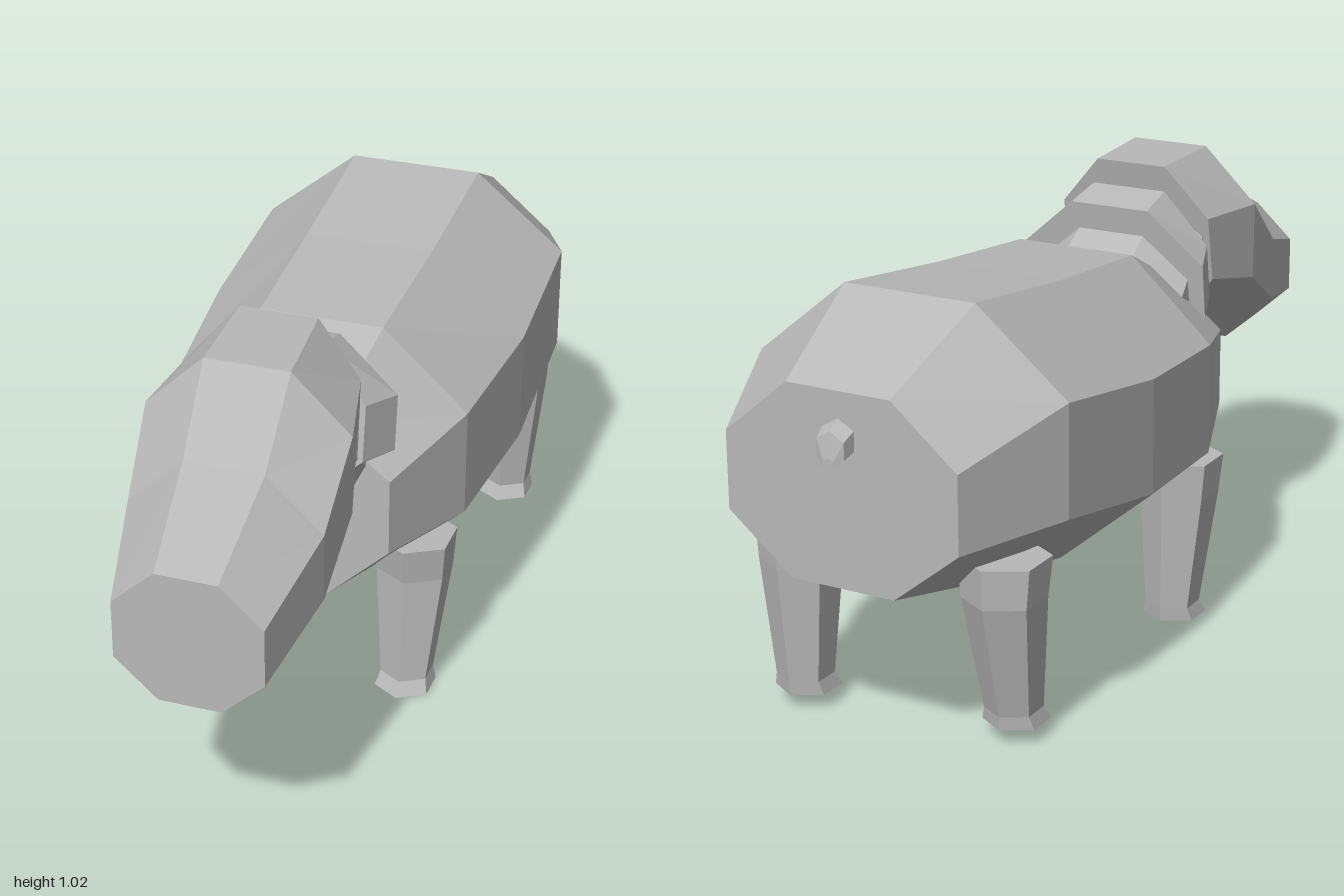
import * as THREE from 'three';

const grey = new THREE.MeshStandardMaterial({ color: 0xb8b8b8, flatShading: true });
grey.name = 'plain grey';

// Closed solid through rings of points, each ring counter-clockwise about the loft direction
function loft(name, rings) {
  const n = rings[0].length;
  const index = [];
  for (let r = 0; r < rings.length - 1; r++) {
    for (let i = 0; i < n; i++) {
      const j = (i + 1) % n, a = r * n, b = a + n;
      index.push(a + i, a + j, b + j, a + i, b + j, b + i);
    }
  }
  const last = (rings.length - 1) * n;
  for (let i = 1; i < n - 1; i++) {
    index.push(0, i + 1, i, last, last + i, last + i + 1);
  }
  const geometry = new THREE.BufferGeometry();
  geometry.setAttribute('position', new THREE.Float32BufferAttribute(rings.flat(2), 3));
  geometry.setIndex(index);
  const flat = geometry.toNonIndexed();
  flat.computeVertexNormals();
  const mesh = new THREE.Mesh(flat, grey);
  mesh.name = name;
  return mesh;
}

// Eight-sided section; it may lean, with its top at zTop and its bottom at zBottom
function octagon({ x = 0, zTop, zBottom = zTop, wide, flat, top, up, low, bottom }) {
  const corners = [[flat, top], [-flat, top], [-wide, up], [-wide, low],
    [-flat, bottom], [flat, bottom], [wide, low], [wide, up]];
  return corners.map(([dx, y]) =>
    [x + dx, y, zTop + (zBottom - zTop) * (top - y) / (top - bottom)]);
}

// Level six-sided section with a corner facing forward
function hexagon(x, y, z, radius) {
  return Array.from({ length: 6 }, (_, i) => {
    const a = i * Math.PI / 3;
    return [x + radius * Math.sin(a), y, z + radius * Math.cos(a)];
  });
}

function leg(name, x, topY, topZ, footY, footZ) {
  const ankleY = footY + 0.032;
  return loft(name, [
    hexagon(x * 0.98, footY, footZ + 0.012, 0.074),
    hexagon(x * 0.98, ankleY, footZ, 0.064),
    hexagon(x, topY - 0.09, topZ - 0.005, 0.092),
    hexagon(x, topY, topZ, 0.1),
  ]);
}

export function createModel() {
  const model = new THREE.Group();
  model.name = 'animal';

  // Barrel body, rump to chest
  model.add(loft('body', [
    { zTop: -0.955, wide: 0.28, flat: 0.125, top: 0.82, up: 0.69, low: 0.515, bottom: 0.39 },
    { zTop: -0.68, wide: 0.38, flat: 0.16, top: 0.955, up: 0.775, low: 0.52, bottom: 0.335 },
    { zTop: -0.31, wide: 0.385, flat: 0.155, top: 0.91, up: 0.72, low: 0.455, bottom: 0.26 },
    { zTop: 0.04, wide: 0.35, flat: 0.147, top: 0.88, up: 0.695, low: 0.435, bottom: 0.255 },
    { zTop: 0.305, wide: 0.25, flat: 0.105, top: 0.76, up: 0.645, low: 0.46, bottom: 0.322 },
  ].map(octagon)));

  // Neck and the flared collar around it
  model.add(loft('neck', [
    { zTop: 0.1, zBottom: 0.3, wide: 0.21, flat: 0.09, top: 0.8, up: 0.72, low: 0.6, bottom: 0.455 },
    { zTop: 0.31, zBottom: 0.39, wide: 0.185, flat: 0.08, top: 0.94, up: 0.86, low: 0.73, bottom: 0.62 },
  ].map(octagon)));
  model.add(loft('collar', [
    { zTop: 0.205, zBottom: 0.25, wide: 0.24, flat: 0.1, top: 0.94, up: 0.82, low: 0.69, bottom: 0.6 },
    { zTop: 0.305, zBottom: 0.36, wide: 0.2, flat: 0.095, top: 0.965, up: 0.84, low: 0.71, bottom: 0.62 },
  ].map(octagon)));

  // Head, turned slightly to the left
  model.add(loft('head', [
    { x: -0.005, zTop: 0.305, zBottom: 0.385, wide: 0.195, flat: 0.09, top: 1.025, up: 0.905, low: 0.75, bottom: 0.62 },
    { x: 0.013, zTop: 0.55, wide: 0.232, flat: 0.097, top: 1.025, up: 0.895, low: 0.71, bottom: 0.585 },
    { x: 0.027, zTop: 0.73, wide: 0.217, flat: 0.09, top: 0.88, up: 0.76, low: 0.605, bottom: 0.485 },
    { x: 0.045, zTop: 0.995, wide: 0.165, flat: 0.069, top: 0.775, up: 0.688, low: 0.555, bottom: 0.468 },
  ].map(octagon)));

  // Legs in mid-step
  model.add(
    leg('frontRightLeg', -0.25, 0.395, 0.1, 0, 0.075),
    leg('frontLeftLeg', 0.25, 0.395, 0.1, 0, 0.13),
    leg('backRightLeg', -0.25, 0.43, -0.72, 0.035, -0.68),
    leg('backLeftLeg', 0.25, 0.43, -0.74, 0.035, -0.75),
  );

  // Stub tail, tip to root
  model.add(loft('tail', [[-0.995, 0.675, 0.014], [-0.985, 0.705, 0.038], [-0.94, 0.725, 0.046]]
    .map(([z, y, r]) => hexagon(0, 0, 0, r).map(([px, , pz]) => [-px, y + pz, z]))));

  return model;
}
